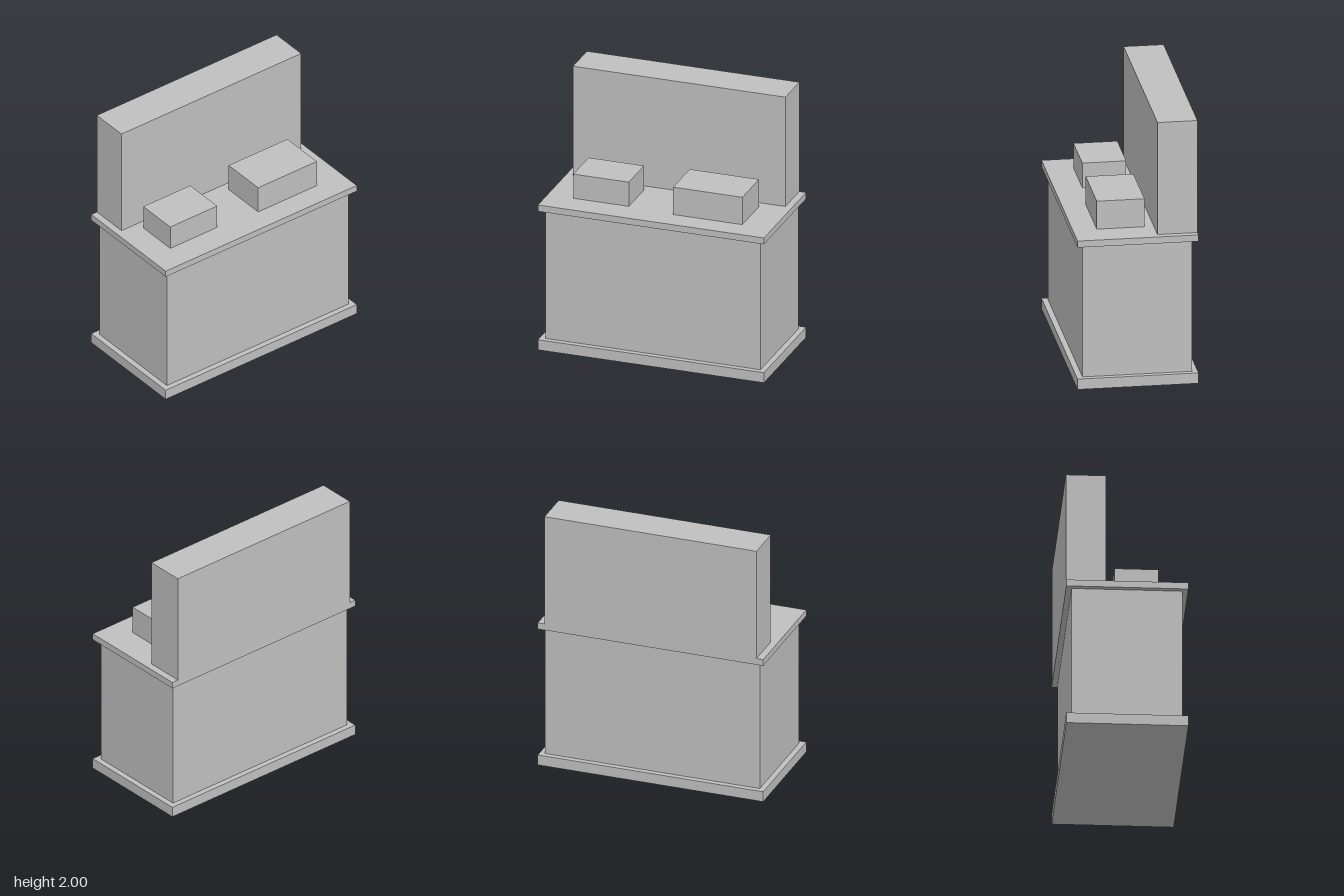
import * as THREE from 'three';

export function createModel() {
  const model = new THREE.Group();
  model.name = 'counter';

  const grey = new THREE.MeshStandardMaterial({ color: 0xbfbfbf });
  grey.name = 'plain grey';

  // Box given by its extents along each axis
  function block(name, [x0, x1], [y0, y1], [z0, z1]) {
    const mesh = new THREE.Mesh(new THREE.BoxGeometry(x1 - x0, y1 - y0, z1 - z0), grey);
    mesh.position.set((x0 + x1) / 2, (y0 + y1) / 2, (z0 + z1) / 2);
    mesh.name = name;
    model.add(mesh);
  }

  // Counter: plinth, cabinet and overhanging top
  block('plinth', [-0.87, 0.87], [0, 0.08], [-0.442, 0.442]);
  block('cabinet', [-0.828, 0.828], [0.08, 1.09], [-0.4, 0.4]);
  block('countertop', [-0.87, 0.87], [1.09, 1.14], [-0.442, 0.442]);

  // Tall panel flush with the rear edge
  block('backPanel', [-0.818, 0.818], [1.14, 2], [-0.442, -0.15]);

  // Two boxes resting on the countertop
  block('smallBox', [-0.672, -0.245], [1.14, 1.33], [-0.082, 0.238]);
  block('largeBox', [0.106, 0.64], [1.14, 1.355], [-0.082, 0.267]);

  return model;
}
